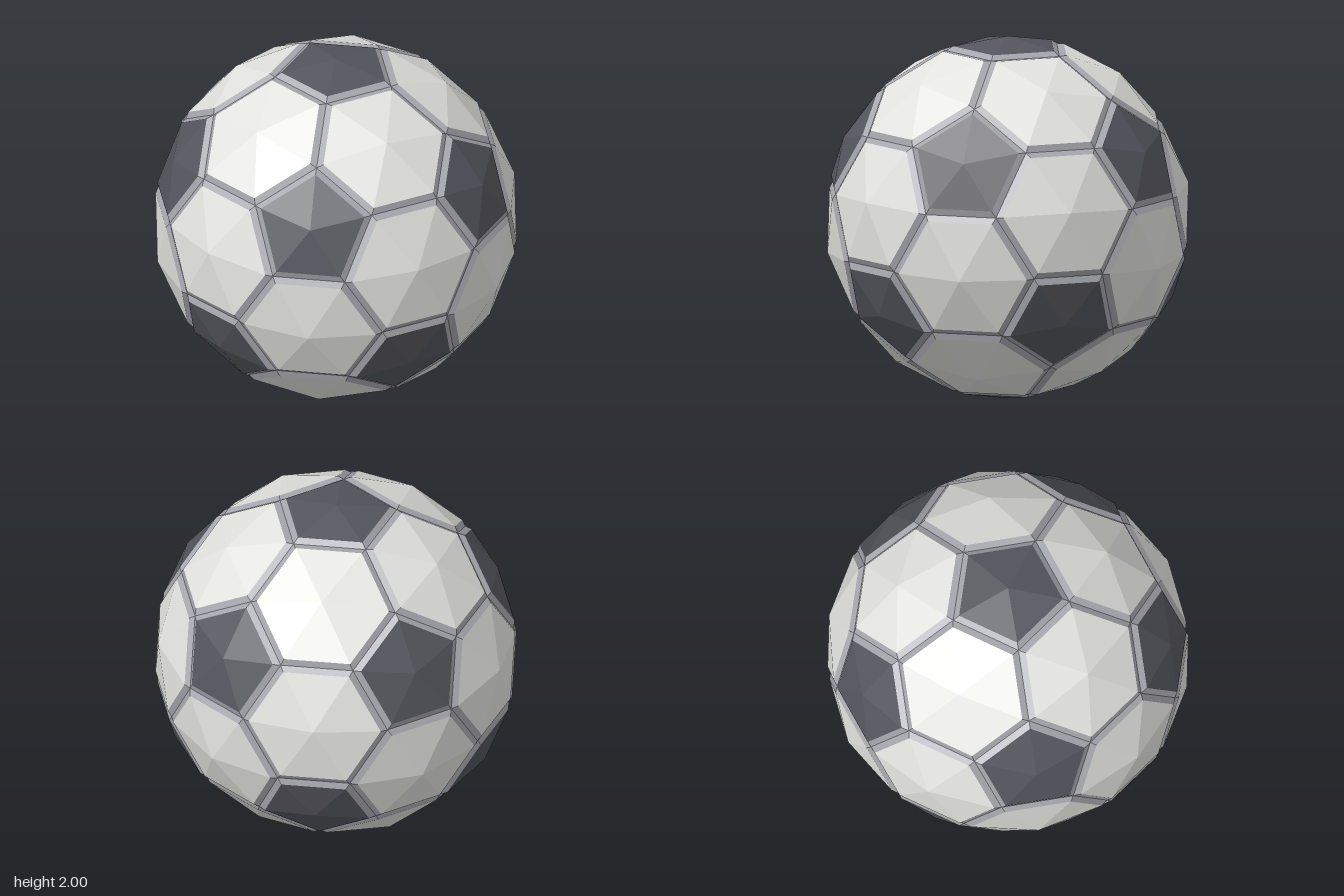
import * as THREE from 'three';

const white = new THREE.MeshStandardMaterial({ color: 0xe2e2de, flatShading: true });
white.name = 'white panel';
const dark = new THREE.MeshStandardMaterial({ color: 0x54555d, flatShading: true });
dark.name = 'dark panel';
const grey = new THREE.MeshStandardMaterial({ color: 0xa6a6ae, flatShading: true });
grey.name = 'grey seam';

const SEAM_RADIUS = 0.98; // distance of the seam corners from the ball's centre
const LIFT = 0.025; // height of a panel rim above the seam
const INSET = 0.029; // width of the bevel

// Twelve icosahedron corners, one at each pole and two rings of five
function icosahedronCorners() {
  const y = 1 / Math.sqrt(5), r = 2 / Math.sqrt(5);
  const corners = [new THREE.Vector3(0, 1, 0), new THREE.Vector3(0, -1, 0)];
  for (let i = 0; i < 5; i++) {
    const a = (i * Math.PI * 2) / 5, b = a + Math.PI / 5;
    corners.push(new THREE.Vector3(r * Math.cos(a), y, r * Math.sin(a)));
    corners.push(new THREE.Vector3(r * Math.cos(b), -y, r * Math.sin(b)));
  }
  return corners;
}

function facets(triangles, material, name) {
  const geometry = new THREE.BufferGeometry().setFromPoints(triangles);
  geometry.computeVertexNormals();
  const mesh = new THREE.Mesh(geometry, material);
  mesh.name = name;
  return mesh;
}

// One raised panel: a shallow fan up to the unit sphere and a bevel down to the seam
function buildPanel(normal, corners, material, name) {
  const u = corners[0].clone().projectOnPlane(normal).normalize();
  const v = normal.clone().cross(u);
  const angle = (p) => Math.atan2(p.dot(v), p.dot(u));
  const seam = [...corners].sort((a, b) => angle(a) - angle(b));
  const n = seam.length;
  const base = normal.clone().multiplyScalar(seam[0].dot(normal));
  const apothem = seam[0].distanceTo(base) * Math.cos(Math.PI / n);
  const rim = seam.map((p) => p.clone().sub(base).multiplyScalar(1 - INSET / apothem)
    .add(base).addScaledVector(normal, LIFT));
  const fan = [], bevel = [];
  for (let i = 0; i < n; i++) {
    const j = (i + 1) % n;
    fan.push(normal, rim[i], rim[j]);
    bevel.push(seam[i], seam[j], rim[j], seam[i], rim[j], rim[i]);
  }
  const group = new THREE.Group();
  group.name = name;
  group.add(facets(fan, material, name + 'Face'), facets(bevel, grey, name + 'Bevel'));
  return group;
}

export function createModel() {
  const model = new THREE.Group();
  model.name = 'football';
  const ball = new THREE.Group();
  ball.name = 'ball';
  ball.position.y = 1;
  model.add(ball);

  const ico = icosahedronCorners();
  const near = (a, b) => a !== b && a.dot(b) > 0.4;
  // Seam corner a third of the way from a to b
  const cut = (a, b) => a.clone().multiplyScalar(2).add(b).normalize().multiplyScalar(SEAM_RADIUS);

  // Dark pentagons around the icosahedron corners
  for (const a of ico) {
    const corners = ico.filter((b) => near(a, b)).map((b) => cut(a, b));
    ball.add(buildPanel(a, corners, dark, 'pentagonPanel'));
  }

  // White hexagons on the icosahedron faces
  for (let i = 0; i < 12; i++) for (let j = i + 1; j < 12; j++) for (let k = j + 1; k < 12; k++) {
    const [a, b, c] = [ico[i], ico[j], ico[k]];
    if (!near(a, b) || !near(b, c) || !near(a, c)) continue;
    const normal = a.clone().add(b).add(c).normalize();
    const corners = [cut(a, b), cut(b, a), cut(b, c), cut(c, b), cut(c, a), cut(a, c)];
    ball.add(buildPanel(normal, corners, white, 'hexagonPanel'));
  }
  return model;
}
